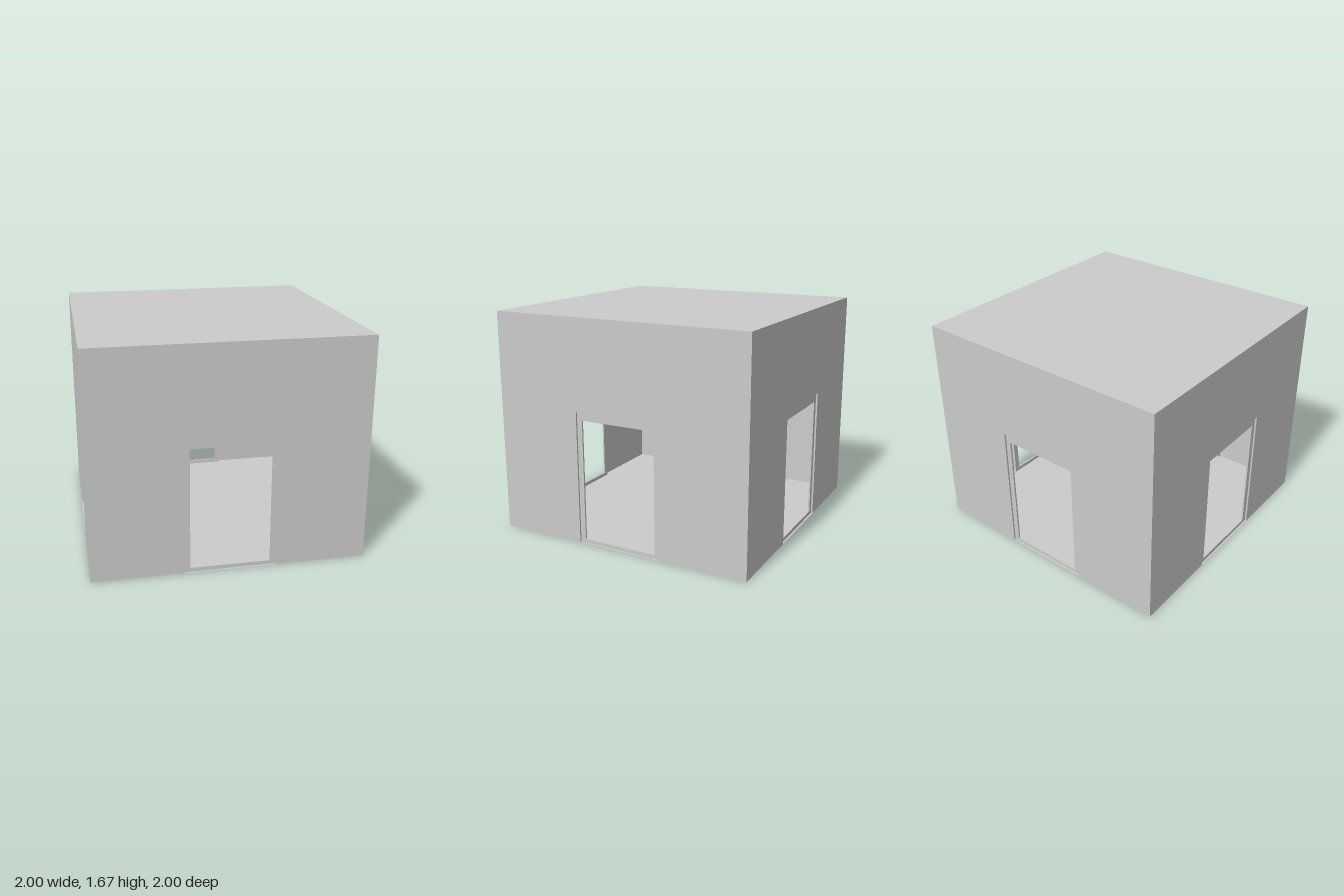
import * as THREE from 'three';

const HEIGHT = 1.67;
const DOOR_W = 0.333, DOOR_H = 0.995;  // doorway half width and height
const OPEN_W = 0.292, OPEN_TOP = 0.935, SILL = 0.03;  // clear opening
const RECESS = 0.013, DEPTH = 0.026;  // frame front and back, behind the wall face

const material = new THREE.MeshStandardMaterial({ color: 0xcccccc, side: THREE.DoubleSide });

function part(name, geometry) {
  const mesh = new THREE.Mesh(geometry, material);
  mesh.name = name;
  return mesh;
}

function polygon(points, Type = THREE.Shape) {
  return new Type(points.map(([x, y]) => new THREE.Vector2(x, y)));
}

// One wall with its doorway, facing +z
function createWall() {
  const wall = new THREE.Group();

  // Thin wall panel, notched down to the floor
  const panel = polygon([
    [-1, 0], [-DOOR_W, 0], [-DOOR_W, DOOR_H], [DOOR_W, DOOR_H],
    [DOOR_W, 0], [1, 0], [1, HEIGHT], [-1, HEIGHT],
  ]);
  const panelMesh = part('wallPanel', new THREE.ShapeGeometry(panel));
  panelMesh.position.z = 1;
  wall.add(panelMesh);

  // Recessed door frame with sill
  const frame = polygon([[-DOOR_W, 0], [DOOR_W, 0], [DOOR_W, DOOR_H], [-DOOR_W, DOOR_H]]);
  frame.holes.push(polygon([
    [-OPEN_W, SILL], [-OPEN_W, OPEN_TOP], [OPEN_W, OPEN_TOP], [OPEN_W, SILL],
  ], THREE.Path));
  const frameMesh = part('doorFrame', new THREE.ExtrudeGeometry(frame, {
    depth: DEPTH - RECESS, bevelEnabled: false,
  }));
  frameMesh.position.z = 1 - DEPTH;
  wall.add(frameMesh);

  // Reveals joining the wall face to the frame
  for (const side of [-1, 1]) {
    const reveal = part('sideReveal', new THREE.PlaneGeometry(RECESS, DOOR_H));
    reveal.rotation.y = -side * Math.PI / 2;
    reveal.position.set(side * DOOR_W, DOOR_H / 2, 1 - RECESS / 2);
    wall.add(reveal);
  }
  const top = part('topReveal', new THREE.PlaneGeometry(2 * DOOR_W, RECESS));
  top.rotation.x = Math.PI / 2;
  top.position.set(0, DOOR_H, 1 - RECESS / 2);
  wall.add(top);
  return wall;
}

export function createModel() {
  const room = new THREE.Group();
  room.name = 'room';

  // Four identical walls
  ['frontWall', 'leftWall', 'backWall', 'rightWall'].forEach((name, i) => {
    const wall = createWall();
    wall.name = name;
    wall.rotation.y = i * Math.PI / 2;
    room.add(wall);
  });

  // Floor and roof slabs
  const floor = part('floor', new THREE.PlaneGeometry(2, 2));
  floor.rotation.x = Math.PI / 2;
  const roof = part('roof', new THREE.PlaneGeometry(2, 2));
  roof.rotation.x = -Math.PI / 2;
  roof.position.y = HEIGHT;
  room.add(floor, roof);
  return room;
}
